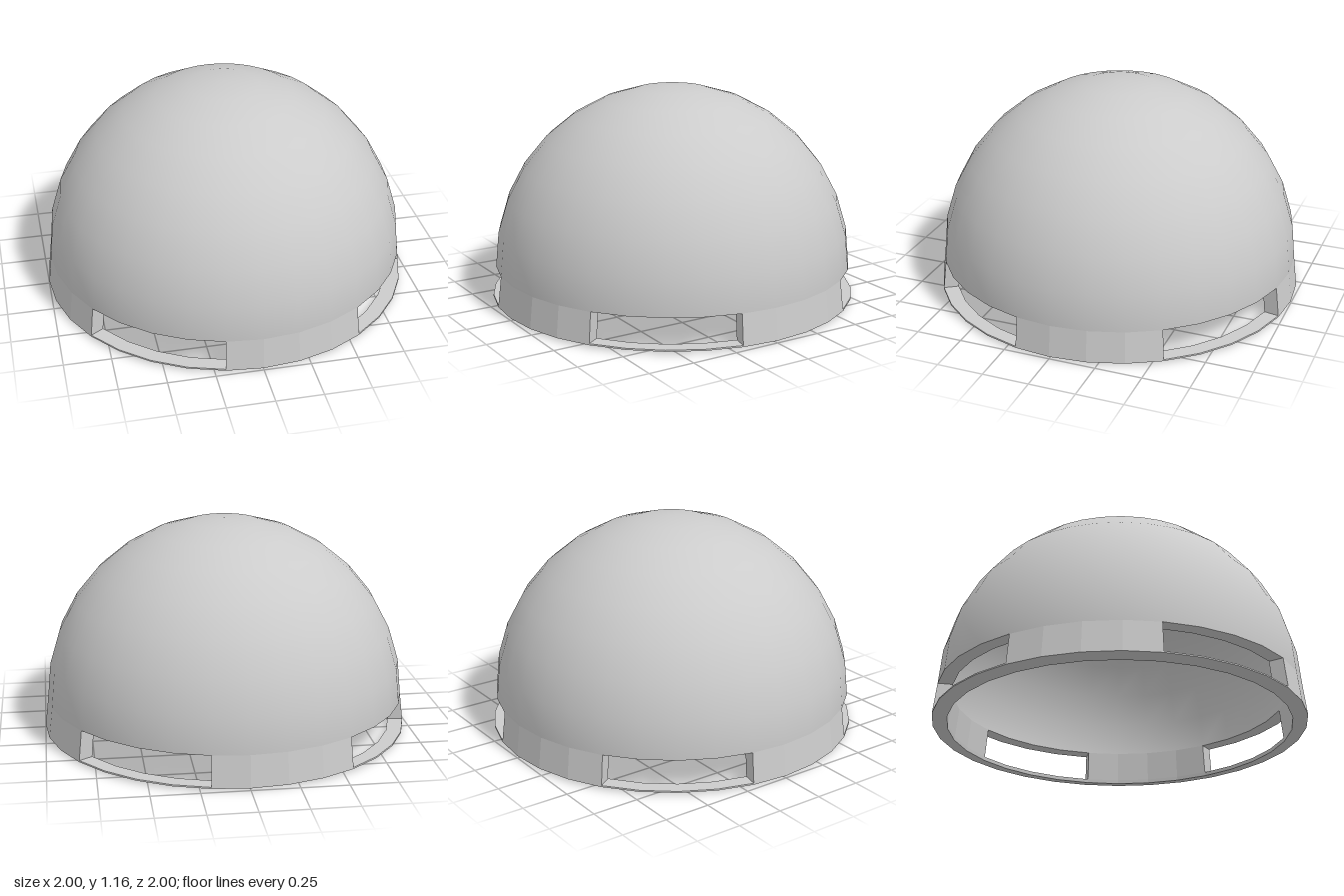
import * as THREE from 'three';

const SEGMENTS = 32;
const STEP = (Math.PI * 2) / SEGMENTS;
const SPRING = 0.18; // height where the dome starts
const SILL = 0.02; // height of the window sills
const OUTER = 0.98;
const INNER = 0.9;

export function createModel() {
  const model = new THREE.Group();
  model.name = 'slottedDome';

  const smooth = new THREE.MeshStandardMaterial({ color: 0xcccccc });
  const smoothInside = new THREE.MeshStandardMaterial({ color: 0xcccccc, side: THREE.BackSide });
  const flat = new THREE.MeshStandardMaterial({ color: 0xcccccc, flatShading: true });
  const flatThin = new THREE.MeshStandardMaterial({ color: 0xcccccc, flatShading: true, side: THREE.DoubleSide });

  const add = (parent, name, geometry, material) => {
    const mesh = new THREE.Mesh(geometry, material);
    mesh.name = name;
    parent.add(mesh);
    return mesh;
  };
  const points = (list) => list.map(([r, y]) => new THREE.Vector2(r, y));

  // Hemispherical shell
  const hemisphere = (radius) =>
    new THREE.SphereGeometry(radius, SEGMENTS, 8, 0, Math.PI * 2, 0, Math.PI / 2).translate(0, SPRING, 0);
  add(model, 'domeOutside', hemisphere(OUTER), smooth);
  add(model, 'domeInside', hemisphere(INNER), smoothInside);

  // Underside of the shell, which forms the window heads
  add(model, 'windowHeads',
    new THREE.LatheGeometry(points([[INNER, SPRING], [OUTER, SPRING]]), SEGMENTS), flat);

  // Thin foot ring with a slightly bevelled bottom
  const foot = [[0.92, 0], [1, 0.012], [0.999, SILL], [0.917, SILL], [0.92, 0]];
  add(model, 'footRing', new THREE.LatheGeometry(points(foot), SEGMENTS), flat);

  // Four wall piers, leaving four windows between them
  const section = [[0.999, SILL], [OUTER, SPRING], [INNER, SPRING], [0.917, SILL]];
  const outside = points(section.slice(0, 2));
  const inside = points(section.slice(2));
  const jamb = new THREE.ShapeGeometry(new THREE.Shape(points(section)));
  for (let i = 0; i < 4; i++) {
    const pier = new THREE.Group();
    pier.name = 'wallPier' + (i + 1);
    const start = -STEP + (i * Math.PI) / 2;
    add(pier, 'pierOutside', new THREE.LatheGeometry(outside, 4, start, 4 * STEP), flat);
    add(pier, 'pierInside', new THREE.LatheGeometry(inside, 4, start, 4 * STEP), flat);
    for (const angle of [start, start + 4 * STEP]) {
      add(pier, 'windowJamb', jamb, flatThin).rotation.y = angle - Math.PI / 2;
    }
    model.add(pier);
  }

  return model;
}
